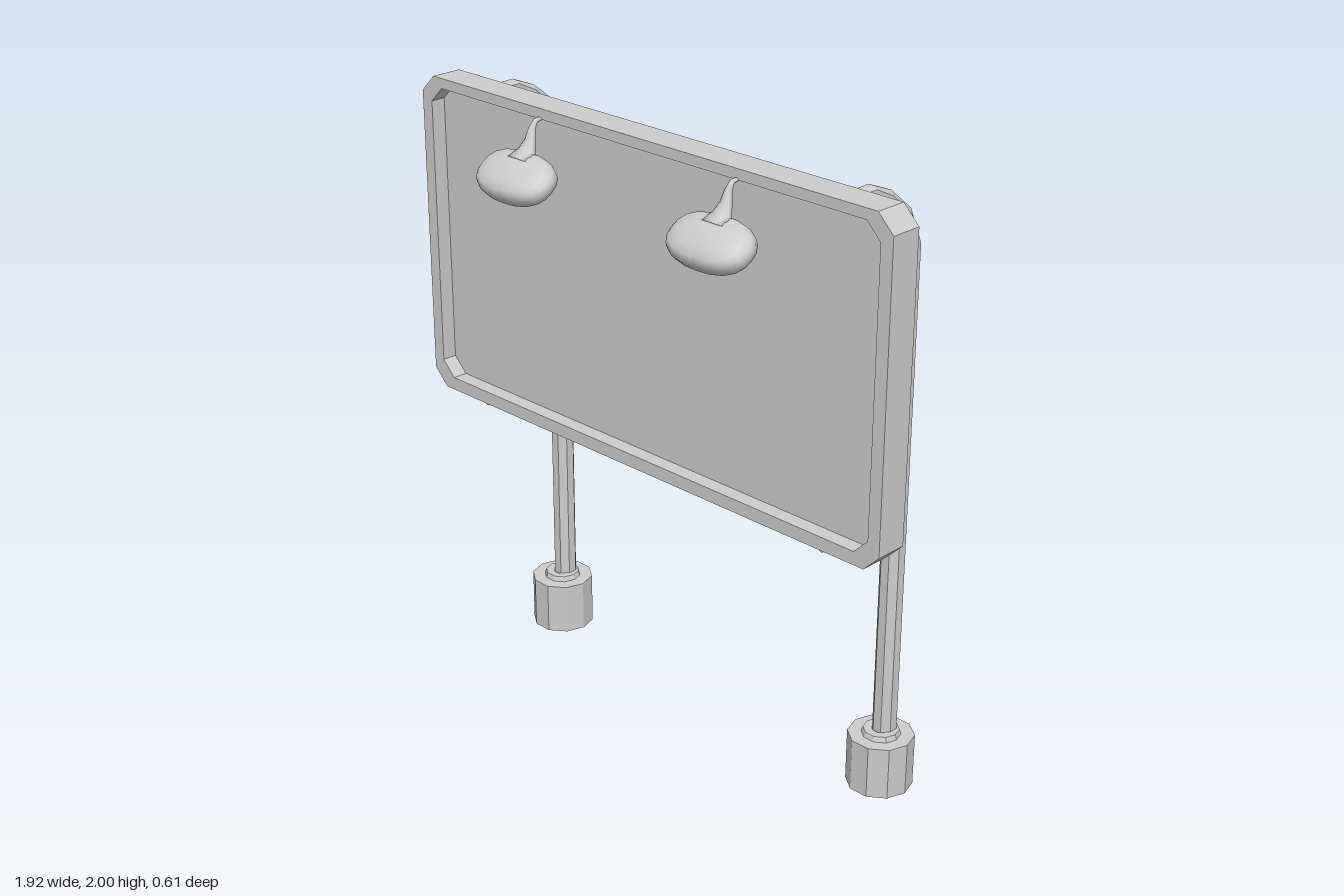
import * as THREE from 'three';

const flat = new THREE.MeshStandardMaterial({ color: 0xcccccc, flatShading: true, side: THREE.DoubleSide });
const smooth = new THREE.MeshStandardMaterial({ color: 0xcccccc, side: THREE.DoubleSide });

function add(parent, name, geometry, material = flat) {
  const mesh = new THREE.Mesh(geometry, material);
  mesh.name = name;
  parent.add(mesh);
  return mesh;
}

// Rectangle with cut corners
function cutRect(Type, x, y0, y1, c) {
  return new Type([
    [-x + c, y0], [x - c, y0], [x, y0 + c], [x, y1 - c],
    [x - c, y1], [-x + c, y1], [-x, y1 - c], [-x, y0 + c],
  ].map(([a, b]) => new THREE.Vector2(a, b)));
}

// Tapered tube in the yz plane; each station is [z, y, half width in x, half thickness]
function taperedTube(stations, sides) {
  const pos = [], index = [];
  stations.forEach(([z, y, rx, rn], j) => {
    const a = stations[Math.max(j - 1, 0)], b = stations[Math.min(j + 1, stations.length - 1)];
    const len = Math.hypot(b[0] - a[0], b[1] - a[1]);
    const tz = (b[0] - a[0]) / len, ty = (b[1] - a[1]) / len;
    for (let i = 0; i < sides; i++) {
      const t = ((i + 0.5) / sides) * Math.PI * 2;
      const n = Math.sin(t) * rn;
      pos.push(Math.cos(t) * rx, y + n * tz, z - n * ty);
      if (j < stations.length - 1) {
        const p = j * sides + i, q = j * sides + (i + 1) % sides;
        index.push(p, q, q + sides, p, q + sides, p + sides);
      }
    }
  });
  // End caps
  const last = (stations.length - 1) * sides;
  for (let i = 1; i < sides - 1; i++) {
    index.push(0, i + 1, i, last, last + i, last + i + 1);
  }
  const g = new THREE.BufferGeometry();
  g.setAttribute('position', new THREE.Float32BufferAttribute(pos, 3));
  g.setIndex(index);
  g.computeVertexNormals();
  return g;
}

function makeSupport() {
  const support = new THREE.Group();
  // Hollow footing with a stepped collar
  const profile = [[0.105, 0], [0.105, 0.175], [0.062, 0.175], [0.057, 0.192], [0.03, 0.192]]
    .map(([r, y]) => new THREE.Vector2(r, y));
  const footing = add(support, 'footing', new THREE.LatheGeometry(profile, 10, Math.PI / 10));
  footing.position.z = -0.205;
  // Post that bends over to the top of the board
  add(support, 'post', taperedTube([
    [-0.22, 0.175, 0.039, 0.039], [-0.22, 1.785, 0.038, 0.038], [-0.182, 1.87, 0.036, 0.036],
    [-0.105, 1.943, 0.031, 0.027], [-0.045, 1.977, 0.026, 0.016], [0.03, 1.978, 0.023, 0.012],
  ], 8));
  add(support, 'lowerBrace', taperedTube([
    [-0.2, 0.94, 0.018, 0.017], [0.08, 0.94, 0.018, 0.017], [0.11, 0.935, 0.014, 0.011],
  ], 6));
  return support;
}

function makeLamp() {
  const lamp = new THREE.Group();
  // Cushion-shaped shade, wider than deep and tilted toward the board
  const profile = [[0, -0.026], [0.6, -0.03], [0.85, -0.034], [0.96, -0.022], [1, 0],
    [0.96, 0.018], [0.85, 0.032], [0.6, 0.042], [0.3, 0.046], [0, 0.048]]
    .map(([r, y]) => new THREE.Vector2(r, y));
  const shadeGeometry = new THREE.LatheGeometry(profile, 20);
  const p = shadeGeometry.attributes.position;
  for (let i = 0; i < p.count; i++) {
    const x = p.getX(i), z = p.getZ(i), r = Math.hypot(x, z);
    if (r < 1e-6) continue;
    // Square off the round outline a little
    const k = r / Math.pow(Math.abs(x) ** 2.5 + Math.abs(z) ** 2.5, 1 / 2.5);
    p.setXYZ(i, x * k * 0.15, p.getY(i), z * k * 0.088);
  }
  shadeGeometry.computeVertexNormals();
  const shade = add(lamp, 'lampShade', shadeGeometry, smooth);
  shade.position.set(0, 1.808, 0.225);
  shade.rotation.x = 0.64;
  // Curved stem flaring into the shade
  add(lamp, 'lampStem', taperedTube([
    [0.12, 1.968, 0.007, 0.006], [0.142, 1.966, 0.008, 0.008], [0.157, 1.945, 0.012, 0.011],
    [0.166, 1.91, 0.02, 0.016], [0.18, 1.88, 0.032, 0.022], [0.205, 1.85, 0.058, 0.036],
  ], 8), smooth);
  return lamp;
}

export function createModel() {
  const model = new THREE.Group();
  model.name = 'billboard';

  // Board: raised frame around a recessed panel
  const board = new THREE.Group();
  board.name = 'board';
  model.add(board);
  const outline = cutRect(THREE.Shape, 0.96, 0.94, 2, 0.055);
  outline.holes.push(cutRect(THREE.Path, 0.917, 0.983, 1.967, 0.05));
  const frame = add(board, 'frame', new THREE.ExtrudeGeometry(outline, { depth: 0.05, bevelEnabled: false }));
  frame.position.z = 0.075;
  const panel = add(board, 'panel', new THREE.ExtrudeGeometry(
    cutRect(THREE.Shape, 0.96, 0.94, 2, 0.055), { depth: 0.055, bevelEnabled: false }));
  panel.position.z = 0.02;

  // Supports and lamps on both sides
  for (const [side, postX, lampX] of [['right', -0.72, -0.41], ['left', 0.735, 0.398]]) {
    const support = makeSupport();
    support.name = side + 'Support';
    support.position.x = postX;
    const lamp = makeLamp();
    lamp.name = side + 'Lamp';
    lamp.position.x = lampX;
    model.add(support, lamp);
  }
  return model;
}
